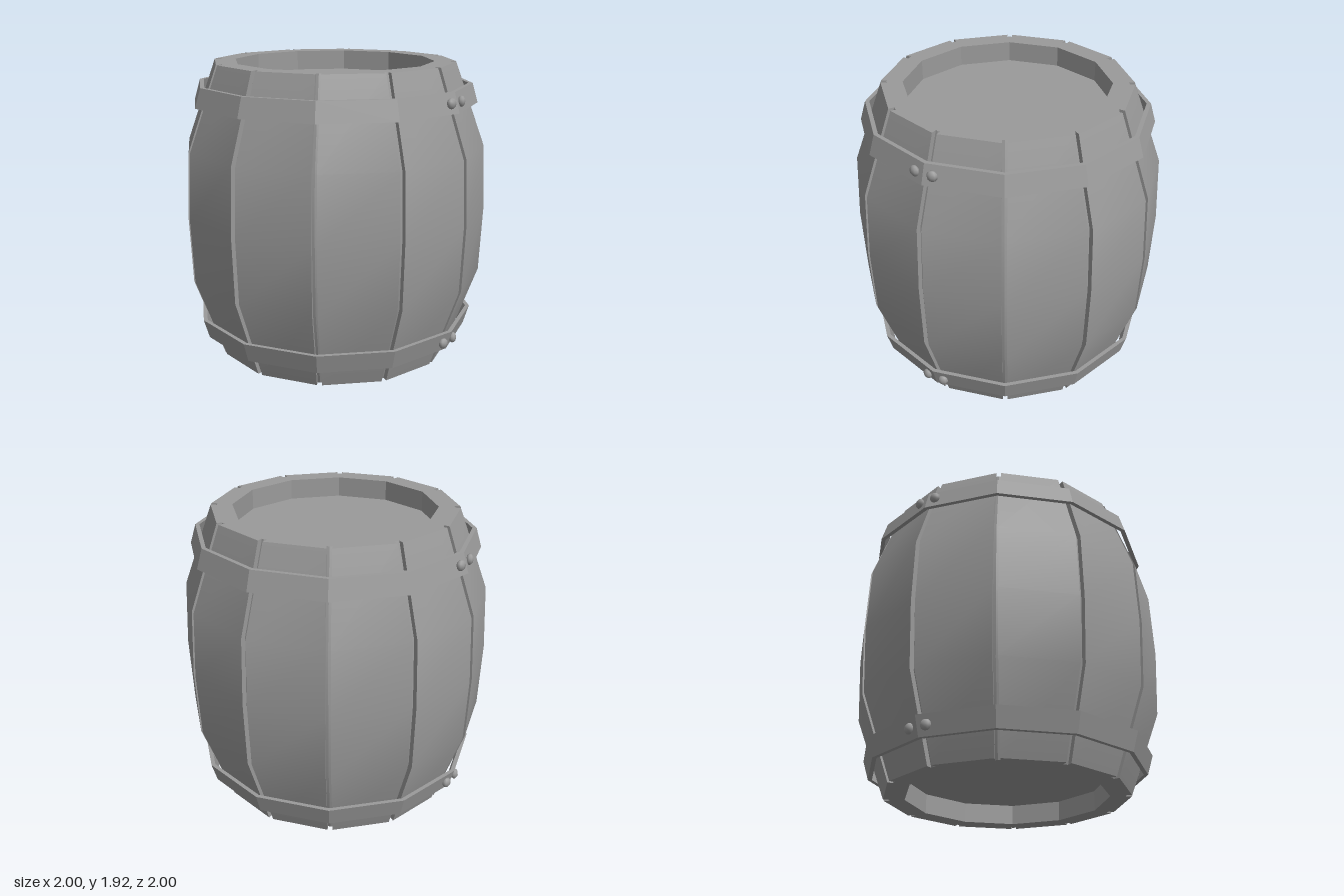
import * as THREE from 'three';
import { toCreasedNormals } from 'three/addons/utils/BufferGeometryUtils.js';

const SIDES = 12, H = 1.92, STEP = Math.PI * 2 / SIDES;
// corner radius of the staves against height
const PROFILE = [[0.79, 0], [0.984, 0.535], [1.003, 0.96], [0.984, 1.385], [0.79, H]];
const GROOVE = 0.016, DEPTH = 0.038, CREASE = 0.4;

// twelve-sided ring or solid from a profile, corners on the grooves
function facetedLathe(points) {
  const pts = points.map(([r, y]) => new THREE.Vector2(r, y));
  return toCreasedNormals(new THREE.LatheGeometry(pts, SIDES), CREASE);
}

// one stave, spanning angle 0 to STEP, built from a four-cornered section at each height
function staveGeometry() {
  const corner = (r, end, y) => {
    const a = end ? STEP : 0, t = end ? -GROOVE : GROOVE;
    const rad = r - GROOVE * Math.tan(STEP / 2);
    return [rad * Math.sin(a) + t * Math.cos(a), y, rad * Math.cos(a) - t * Math.sin(a)];
  };
  const pos = [], index = [];
  for (const [r, y] of PROFILE) {
    pos.push(...corner(r, 0, y), ...corner(r, 1, y), ...corner(r - DEPTH, 1, y), ...corner(r - DEPTH, 0, y));
  }
  for (let i = 0; i < PROFILE.length - 1; i++) {
    for (let k = 0; k < 4; k++) {
      const a = i * 4 + k, b = i * 4 + (k + 1) % 4;
      index.push(a, b, b + 4, a, b + 4, a + 4);
    }
  }
  const t = (PROFILE.length - 1) * 4;
  index.push(0, 2, 1, 0, 3, 2, t, t + 1, t + 2, t, t + 2, t + 3); // end caps
  const geo = new THREE.BufferGeometry();
  geo.setAttribute('position', new THREE.Float32BufferAttribute(pos, 3));
  geo.setIndex(index);
  return toCreasedNormals(geo, CREASE);
}

export function createModel() {
  const grey = new THREE.MeshStandardMaterial({ color: 0x9a9a9a });
  grey.name = 'grey';
  const barrel = new THREE.Group();
  barrel.name = 'barrel';
  const add = (name, geo) => {
    const mesh = new THREE.Mesh(geo, grey);
    mesh.name = name;
    barrel.add(mesh);
    return mesh;
  };

  // inner body: groove floors, thick rims and recessed heads
  add('body', facetedLathe([
    [0, 0.13], [0.65, 0.13], [0.65, 0],
    ...PROFILE.map(([r, y]) => [r - DEPTH, y]),
    [0.65, H], [0.65, H - 0.13], [0, H - 0.13],
  ]));

  // staves
  const stave = staveGeometry();
  for (let i = 0; i < SIDES; i++) add('stave', stave).rotation.y = i * STEP;

  // hoops, flaring toward the middle
  const lowY = 0.135, highY = 0.26;
  add('lowerHoop', facetedLathe([
    [0.868, lowY], [0.895, lowY], [0.932, highY], [0.905, highY], [0.868, lowY],
  ]));
  add('upperHoop', facetedLathe([
    [0.905, H - highY], [0.932, H - highY], [0.895, H - lowY], [0.868, H - lowY], [0.905, H - highY],
  ]));

  // paired rivets on both sides of each hoop
  const rivet = new THREE.SphereGeometry(0.034, 8, 6);
  rivet.scale(0.7, 1, 1);
  for (const y of [0.195, H - 0.195]) {
    for (const sx of [-1, 1]) {
      for (const sz of [-1, 1]) {
        const m = add('rivet', rivet);
        m.position.set(sx * 0.908, y, sz * 0.06);
        m.rotation.y = -sx * sz * STEP / 2;
      }
    }
  }
  return barrel;
}
